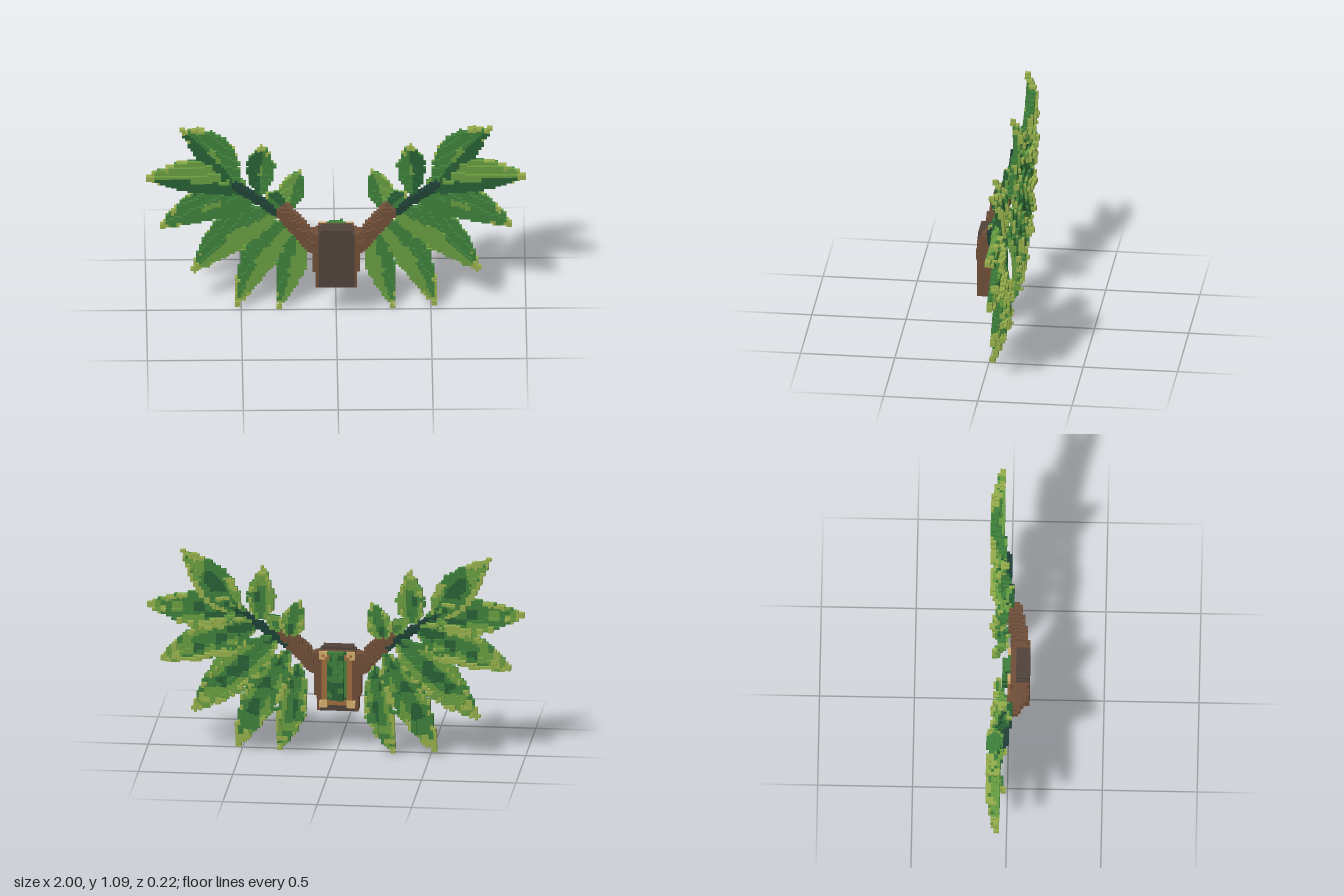
import * as THREE from 'three';

const V = 2 / 137; // cube size
const COLORS = {
  yellowGreen: 0x94ad4a, lightGreen: 0x689c40, midGreen: 0x3e803b, darkGreen: 0x286035,
  stemTeal: 0x1e4036, bark: 0x6f4e38, darkBark: 0x50423a, tan: 0x9c6b3c, pale: 0xd2ac6c,
};

// repeatable noise, 0..1
function noise(a, b, c = 0) {
  const h = Math.sin(a * 127.1 + b * 311.7 + c * 74.7) * 43758.5453;
  return h - Math.floor(h);
}

// base x, y, tip x, y, half width, z at base, middle, tip (cubes), bend, upper/outer colour, lower/inner colour
const LEAVES = [
  ['innerTopLeaf', 0.25, 0.62, 0.19, 0.83, 0.066, 0, -2, -3, -0.008, 'midGreen', 'lightGreen'],
  ['uprightLeaf', 0.40, 0.71, 0.385, 1.0, 0.078, 0, -2, -1, -0.004, 'midGreen', 'darkGreen'],
  ['upperLeaf', 0.52, 0.75, 0.815, 1.09, 0.1, -1, -4, -3, 0.02, 'midGreen', 'darkGreen'],
  ['sideLeaf', 0.47, 0.745, 1.0, 0.79, 0.104, -1, -3, -3, 0.012, 'lightGreen', 'darkGreen'],
  ['lowerSideLeaf', 0.42, 0.69, 0.93, 0.49, 0.108, -1, -3, -3, 0.02, 'midGreen', 'midGreen'],
  ['outerHangingLeaf', 0.32, 0.61, 0.755, 0.215, 0.115, 0, -3, -3, 0.022, 'midGreen', 'lightGreen'],
  ['middleHangingLeaf', 0.25, 0.54, 0.525, 0.015, 0.1, 0, -3, -1, 0.02, 'midGreen', 'lightGreen'],
  ['innerHangingLeaf', 0.2, 0.47, 0.3, 0.0, 0.08, 0, -3, -1, -0.015, 'midGreen', 'lightGreen'],
  ['budLeaf', 0.27, 0.64, 0.37, 0.73, 0.046, 2, 1, 1, 0, 'darkGreen', 'midGreen'],
];

export function createModel() {
  const model = new THREE.Group();
  const mats = {};
  for (const [name, color] of Object.entries(COLORS)) {
    mats[name] = new THREE.MeshStandardMaterial({ color });
    mats[name].name = name;
  }

  // cube store: the first part to claim a cell keeps it
  const cells = new Map();
  const key = (i, j, k) => `${i},${j},${k}`;
  const put = (part, i, j, k, color) => {
    if (j < 0 || j > 74 || Math.abs(i) > 68 || Math.abs(k) > 7) return;
    if (!cells.has(key(i, j, k))) cells.set(key(i, j, k), { part, i, j, k, color });
  };
  const putPair = (part, i, j, k, color) => {
    put('left' + part, i, j, k, color);
    put('right' + part, -i, j, k, color);
  };

  // central block with cut corners, dark core and brown flanks, stepped in at the back
  for (let i = -7; i <= 7; i++) for (let j = 14; j <= 37; j++) {
    const a = Math.abs(i);
    if (a > 7 - Math.max(0, j - 35)) continue;
    const back = j >= 19 && j <= 36 ? 1 : 3;
    for (let k = back; k <= 7; k++) put('block', i, j, k, a <= 6 && k >= 3 ? 'darkBark' : 'bark');
  }
  // back frame with pale corner knots and a leafy centre
  for (let i = -6; i <= 6; i++) for (let j = 16; j <= 36; j++) {
    const a = Math.abs(i), side = a === 4 || a === 5, end = j === 17 || j === 18 || j === 34 || j === 35;
    const knot = a >= 4 && (j <= 18 || j >= 34);
    if (knot && noise(a, j, 2) > 0.25) for (let k = 0; k <= 2; k++) put('frameKnot', i, j, k, 'pale');
    else if ((side && j > 16 && j < 36) || (end && a < 4)) for (let k = 0; k <= 2; k++) put('backFrame', i, j, k, 'tan');
    if (a <= 3 && j >= 19) {
      const c = noise(i >> 1, j >> 1) > 0.45 ? 'midGreen' : 'darkGreen';
      const depth = a <= 2 ? -1 - (noise(i >> 1, j >> 1, 3) > 0.5) : 0;
      for (let k = 0; k >= depth; k--) put('backLeaves', i, j, k, c);
    }
  }
  // side ribs of the block
  for (let j = 20; j <= 35; j++) for (let k = 2; k <= 6; k++) putPair('Rib', 8, j, k, 'bark');

  // round rod of cubes from a to b
  function rod(part, a, b, r, color) {
    const line = new THREE.Line3(new THREE.Vector3(...a), new THREE.Vector3(...b));
    const p = new THREE.Vector3(), q = new THREE.Vector3();
    for (let i = 6; i < 45; i++) for (let j = 20; j < 60; j++) for (let k = -6; k <= 7; k++) {
      p.set(i, j, k);
      if (line.closestPointToPoint(p, true, q).distanceTo(p) <= r) putPair(part, i, j, k, color);
    }
  }
  rod('Branch', [8, 30, 4.5], [18.5, 42, 1.5], 3.2, 'bark');
  rod('Stem', [18, 39, 0.5], [36, 51.5, -1.5], 1.6, 'stemTeal');

  // folded leaf: raised midrib, edges swept back, speckled back
  function leaf([name, bx, by, tx, ty, hw, zb, zm, zt, bend, colA, colB], n) {
    const part = name[0].toUpperCase() + name.slice(1);
    const dx = tx - bx, dy = ty - by, len = Math.hypot(dx, dy);
    for (let i = 5; i <= 68; i++) for (let j = 0; j < 75; j++) {
      const px = i * V - bx, py = (j + 0.5) * V - by;
      const t = (px * dx + py * dy) / (len * len);
      if (t < 0 || t > 1) continue;
      const s = (py * dx - px * dy) / len - bend * Math.sin(Math.PI * t);
      const saw = 1 - 0.12 * ((t * 6) % 1);
      const w = Math.max(hw * Math.pow(Math.sin(Math.PI * Math.pow(t, 0.8)), 0.8) * saw, 0.011);
      const e = Math.abs(s) / w;
      if (e > 1) continue;
      const mid = (1 - t) * (1 - 2 * t) * zb + 4 * t * (1 - t) * zm + t * (2 * t - 1) * zt;
      const k = Math.round(mid - (Math.abs(s) / 0.1) * 2.1);
      const spot = noise(i >> 1, j >> 1, n);
      // two-tone front with a light midrib patch and yellow tip
      let front = s > 0 ? colA : colB;
      if (n < 8 && e < 0.16 && t > 0.35 && t < 0.55) front = 'lightGreen';
      if (t > 0.92 || (t > 0.78 && e > 0.6 && spot > 0.5)) front = 'yellowGreen';
      // back in broad green patches, darker along the rib, with raised specks at the edge
      const patch = noise(i >> 2, j >> 2, n);
      let back = patch > 0.5 ? 'lightGreen' : 'midGreen';
      if (e < 0.4 && t < 0.65) back = patch > 0.5 ? 'midGreen' : 'darkGreen';
      const speckled = n < 8 && (e > 0.7 || t > 0.8) && spot > 0.5;
      if (speckled || t > 0.92) back = 'yellowGreen';
      putPair(part, i, j, k, front);
      putPair(part, i, j, k - 1, back);
      if (speckled && t > 0.25 && t < 0.82) putPair(part, i, j, k - 2, back);
    }
  }
  LEAVES.forEach(leaf);

  // gather the exposed cube faces by part and colour
  const batches = new Map();
  const axes = [[1, 0, 0], [0, 1, 0], [0, 0, 1]];
  for (const { part, i, j, k, color } of cells.values()) {
    const id = part + '|' + color;
    if (!batches.has(id)) batches.set(id, []);
    const out = batches.get(id);
    const c = [i, j + 0.5, k];
    for (let a = 0; a < 3; a++) for (const d of [1, -1]) {
      const m = axes[a].map((v) => v * d);
      if (cells.has(key(i + m[0], j + m[1], k + m[2]))) continue;
      const u = axes[(a + 1) % 3], v = axes[(a + 2) % 3];
      const corner = (su, sv) => c.map((x, q) => (x + 0.5 * (m[q] + su * d * u[q] + sv * v[q])) * V);
      const [A, B, C, D] = [corner(-1, -1), corner(1, -1), corner(1, 1), corner(-1, 1)];
      out.push(...A, ...B, ...C, ...A, ...C, ...D);
    }
  }
  const parts = {};
  for (const [id, positions] of batches) {
    const [part, color] = id.split('|');
    if (!parts[part]) {
      parts[part] = new THREE.Group();
      parts[part].name = part;
      model.add(parts[part]);
    }
    const geo = new THREE.BufferGeometry();
    geo.setAttribute('position', new THREE.Float32BufferAttribute(positions, 3));
    geo.computeVertexNormals();
    const mesh = new THREE.Mesh(geo, mats[color]);
    mesh.name = part + ' ' + color;
    parts[part].add(mesh);
  }
  return model;
}
